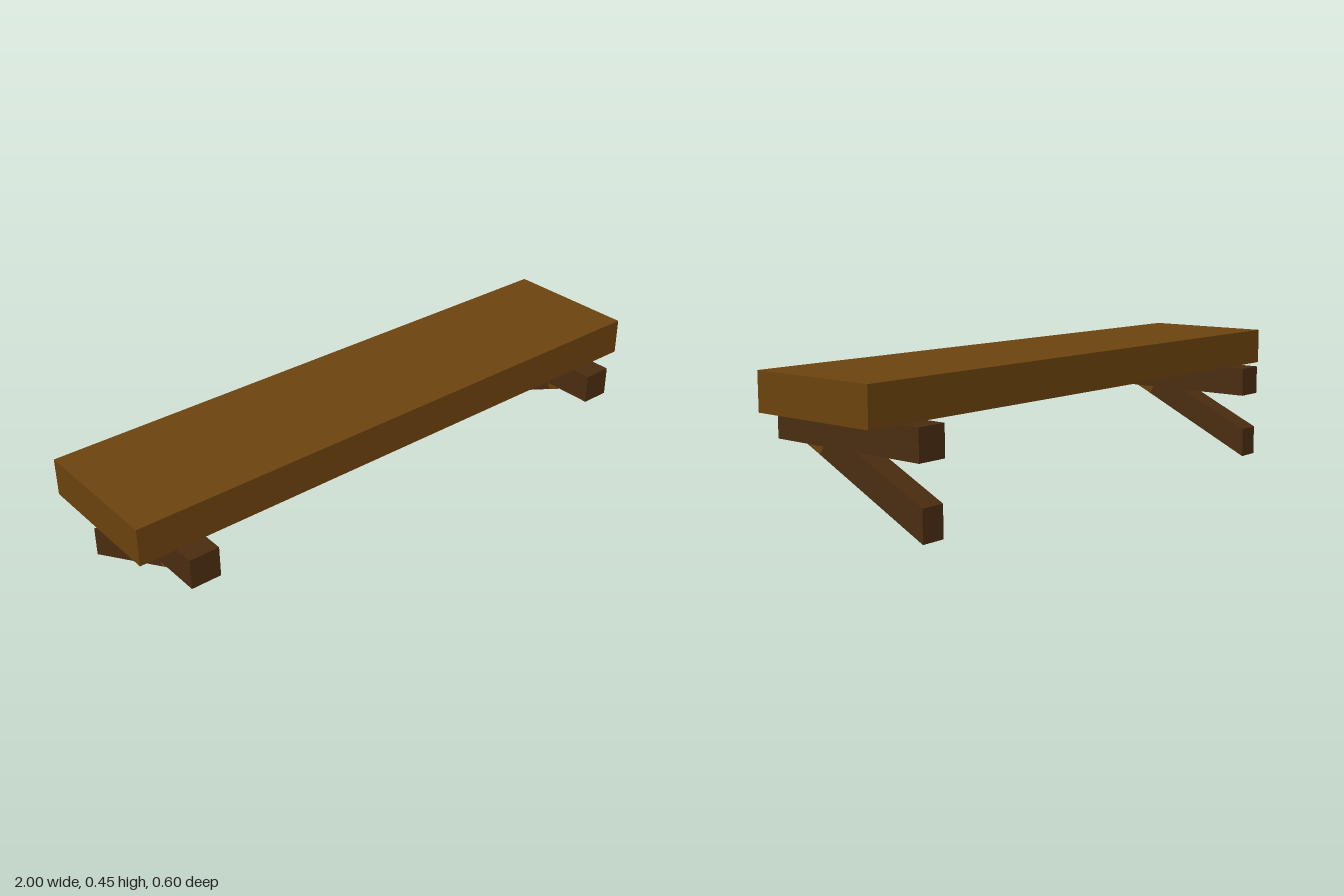
import * as THREE from 'three';

export function createModel() {
  const model = new THREE.Group();
  model.name = 'bench';

  const plankWood = new THREE.MeshStandardMaterial({ color: 0x6b420d });
  plankWood.name = 'plank wood';
  const darkWood = new THREE.MeshStandardMaterial({ color: 0x4a2c10 });
  darkWood.name = 'dark wood';

  const add = (name, geometry, material, x = 0, y = 0) => {
    const mesh = new THREE.Mesh(geometry, material);
    mesh.name = name;
    mesh.position.set(x, y, 0);
    model.add(mesh);
  };

  // Side profile given as [z, y] points, extruded across x and centred
  const profile = (points, width) => {
    const shape = new THREE.Shape(points.map(([z, y]) => new THREE.Vector2(z, y)));
    return new THREE.ExtrudeGeometry(shape, { depth: width, bevelEnabled: false })
      .translate(0, 0, -width / 2)
      .rotateY(-Math.PI / 2);
  };

  // Thick seat plank
  add('seat', new THREE.BoxGeometry(2, 0.124, 0.466), plankWood, 0, 0.39);

  // Cross beam and slanted brace under each end
  const beam = new THREE.BoxGeometry(0.1, 0.1, 0.6);
  const brace = profile([[-0.3, 0], [0.122, 0.199], [0.106, 0.228], [-0.028, 0.228], [-0.3, 0.102]], 0.08);
  const tip = profile([[0.122, 0.199], [0.185, 0.228], [0.106, 0.228]], 0.08);
  for (const [side, x] of [['left', 0.83], ['right', -0.83]]) {
    add(side + 'Beam', beam, darkWood, x, 0.278);
    add(side + 'Brace', brace, darkWood, x);
    add(side + 'BraceTip', tip, plankWood, x);
  }

  return model;
}
